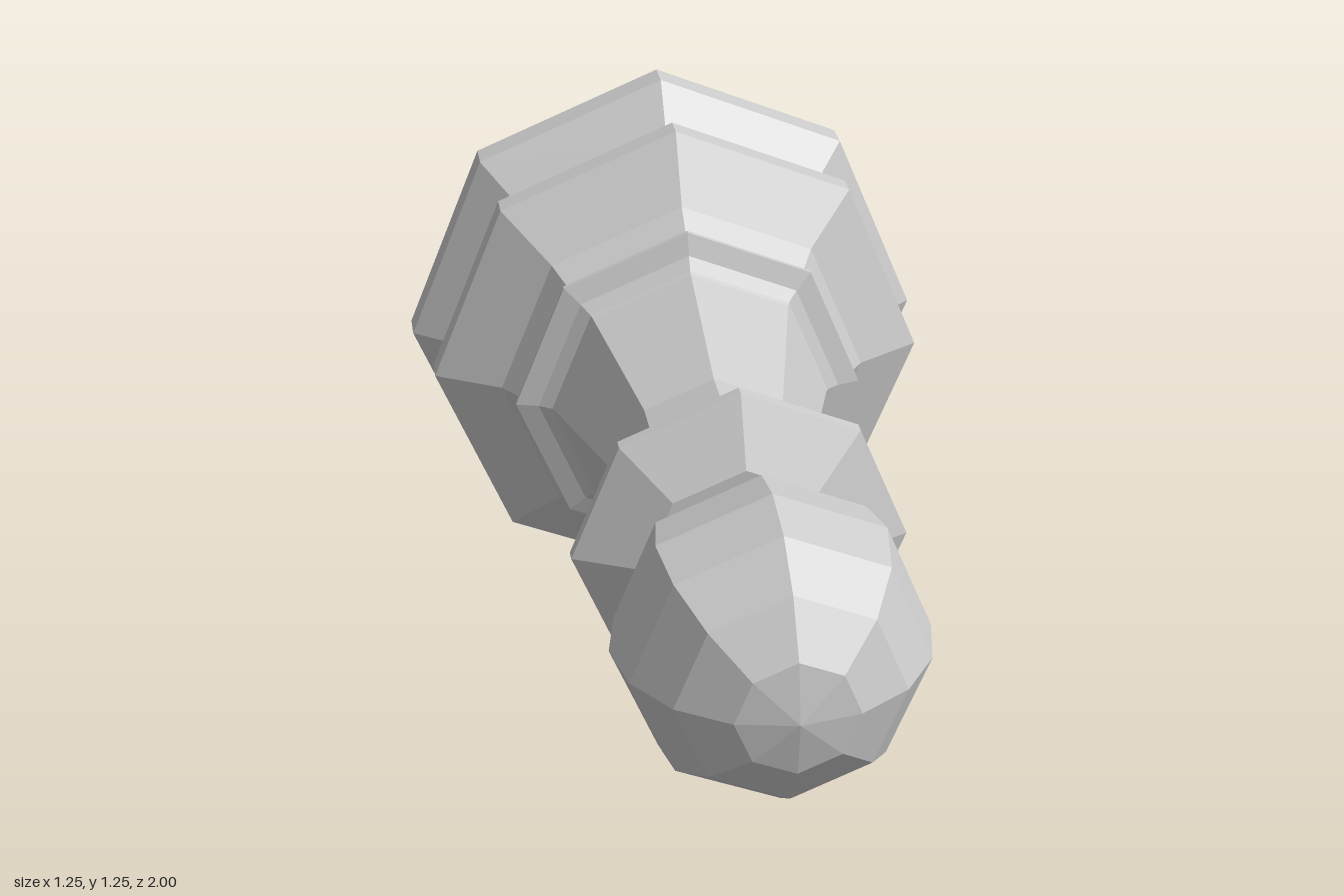
import * as THREE from 'three';

const SIDES = 8;

export function createModel() {
  const model = new THREE.Group();
  const material = new THREE.MeshStandardMaterial({ color: 0xcccccc, flatShading: true });

  // The piece is turned about y, then laid down so its head points to +z
  const piece = new THREE.Group();
  piece.name = 'pawn';
  piece.rotation.x = Math.PI / 2;
  piece.position.y = 0.628;
  model.add(piece);

  const add = (name, geometry) => {
    const mesh = new THREE.Mesh(geometry, material);
    mesh.name = name;
    piece.add(mesh);
    return mesh;
  };

  // Eight-sided turned part from [radius, height] pairs, bottom to top
  const turned = (name, profile) =>
    add(name, new THREE.LatheGeometry(profile.map(([r, h]) => new THREE.Vector2(r, h)), SIDES));

  // Stepped foot with a closed underside
  turned('base', [
    [0, -1], [0.615, -1], [0.627, -0.975], [0.627, -0.9], [0.5, -0.8],
    [0.59, -0.71], [0.59, -0.65], [0.437, -0.56], [0.388, -0.49], [0, -0.49],
  ]);

  // Thin ring between foot and stem
  turned('baseRing', [[0, -0.49], [0.388, -0.49], [0.412, -0.477], [0.412, -0.465], [0.36, -0.45], [0.33, -0.43], [0, -0.43]]);

  // Flared stem
  turned('stem', [[0.335, -0.44], [0.325, -0.42], [0.222, -0.08], [0.222, 0.22]]);

  // Collar under the head
  turned('collar', [[0, 0.21], [0.222, 0.21], [0.305, 0.233], [0.365, 0.257], [0.365, 0.285], [0.22, 0.357], [0, 0.357]]);

  // Faceted ball head
  add('head', new THREE.SphereGeometry(0.332, SIDES, 8)).position.y = 0.668;

  return model;
}
